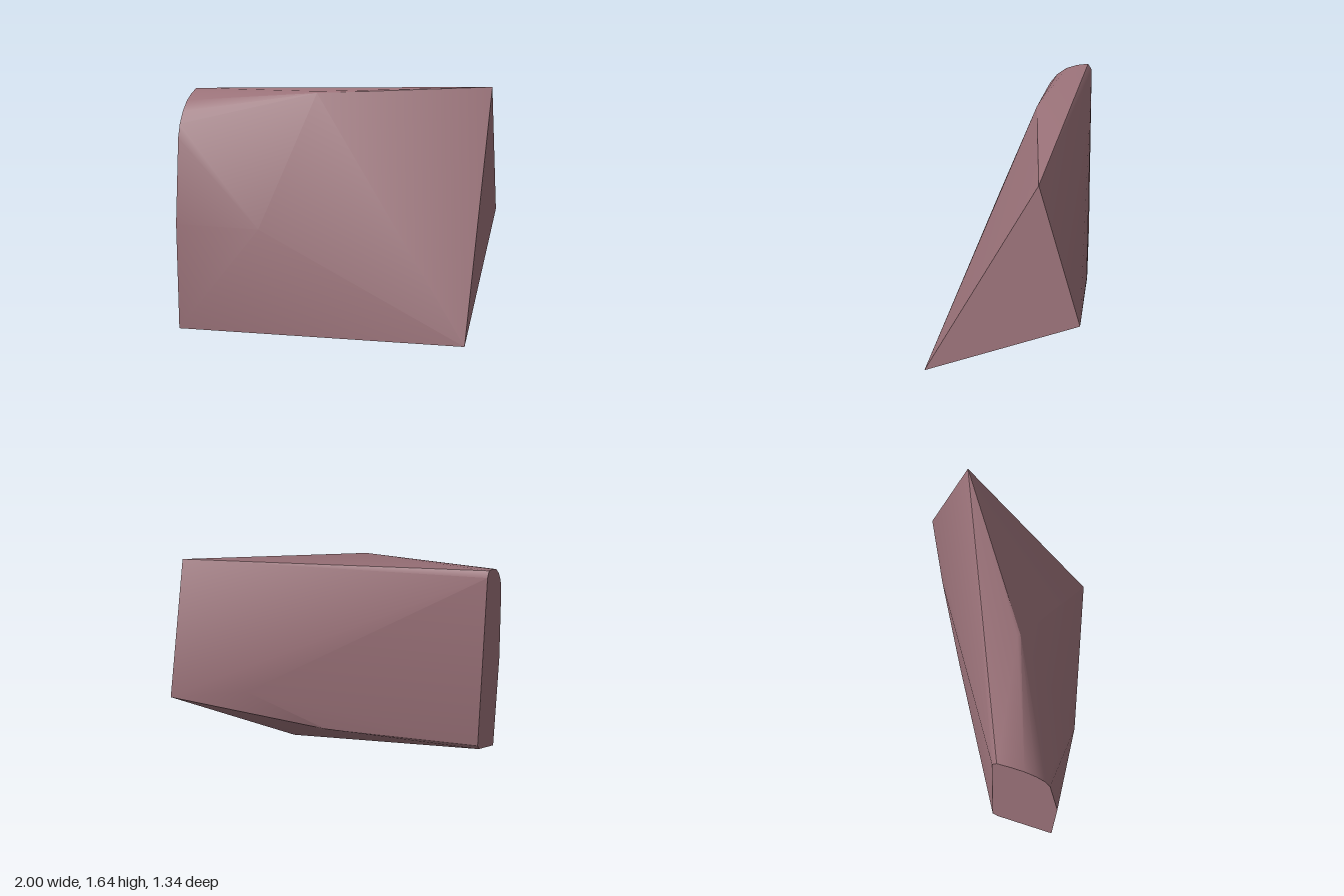
import * as THREE from 'three';
import { ConvexGeometry } from 'three/addons/geometries/ConvexGeometry.js';
import { toCreasedNormals } from 'three/addons/utils/BufferGeometryUtils.js';

export function createModel() {
  const group = new THREE.Group();
  group.name = 'rock';

  // Triangular end at +x: top, back and foot corners
  const narrowEnd = [[1, 1.64, -0.38], [1, 0.7, -0.67], [1, 0, 0.53]];

  // Slab-like end at -x, rounded over its upper front edge (z, y)
  const wideEnd = [
    [0.65, 0], [0.66, 0.75], [0.585, 1.34], [0.55, 1.43], [0.49, 1.51],
    [0.41, 1.575], [0.32, 1.615], [0.23, 1.64], [0.2, 1.6], [0.205, 0.26], [0.24, 0.21],
  ].map(([z, y]) => [-1, y, z]);

  // Ridges between the two ends
  const ridges = [
    [-0.4, 0.75, 0.67],                        // front bulge
    [-0.12, 1.63, 0.21], [-0.13, 1.64, 0.19],  // front of the flat top
    [0.74, 1.38, -0.13],                       // upper front shoulder
    [0.5, 0.75, -0.48], [0, 0.43, -0.25],      // back ridge
    [0.41, 0, 0.24], [0.43, 0.04, 0.16],       // foot
  ];

  const points = [...narrowEnd, ...wideEnd, ...ridges].map((p) => new THREE.Vector3(...p));
  const geometry = toCreasedNormals(new ConvexGeometry(points), Math.PI / 6);
  const boulder = new THREE.Mesh(geometry, new THREE.MeshStandardMaterial({ color: 0x9c737a }));
  boulder.name = 'boulder';
  group.add(boulder);
  return group;
}
